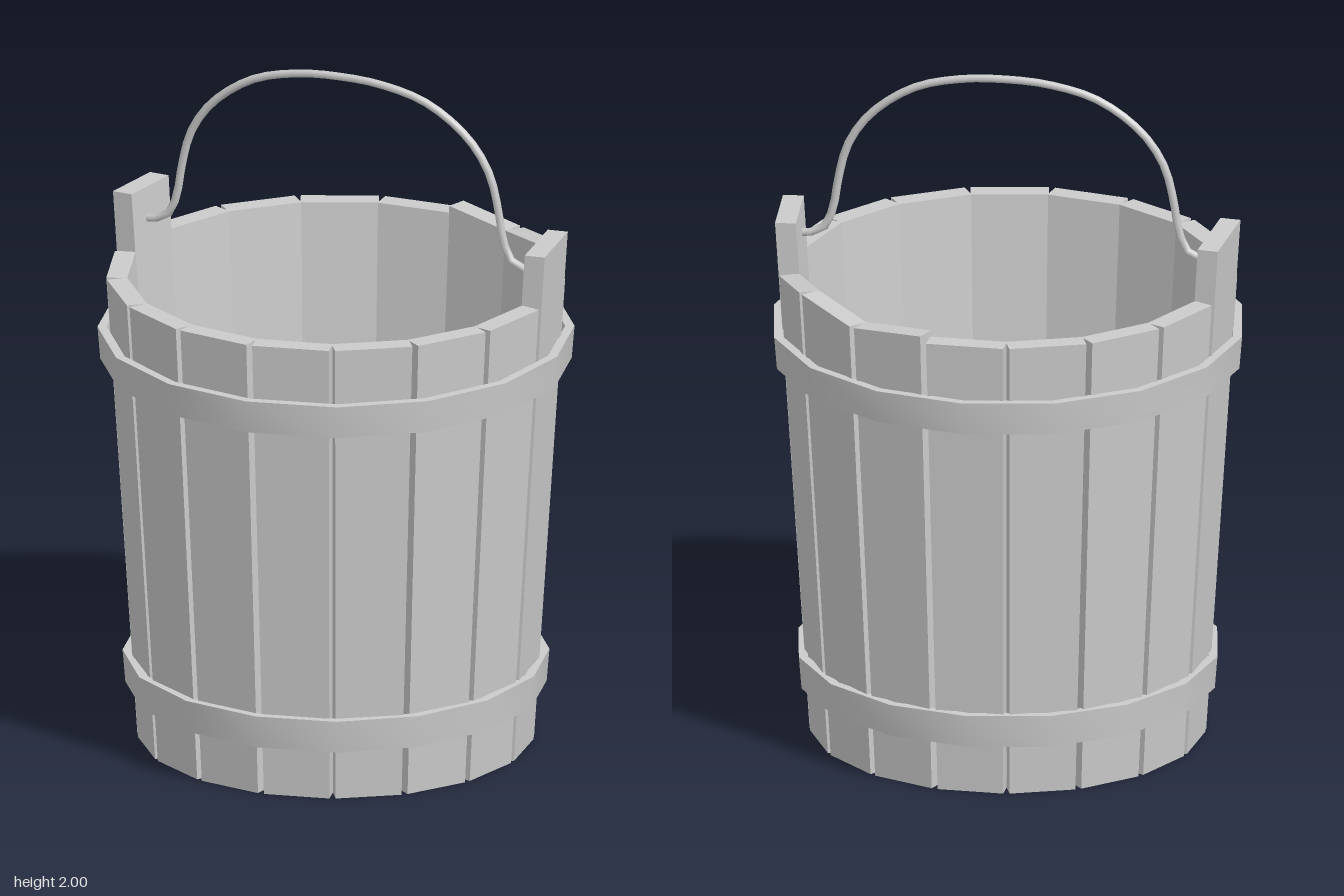
import * as THREE from 'three';
import { toCreasedNormals } from 'three/addons/utils/BufferGeometryUtils.js';

const STAVES = 17;
const STEP = (Math.PI * 2) / STAVES;
const THICK = 0.06;
const outerAt = (y) => 0.562 + 0.063 * y; // the wall flares upward

// Staves with uneven tops: index -> [top at local -x, top at local +x]
const TOPS = {
  1: [1.4, 1.42],
  2: [1.43, 1.4],
  3: [1.4, 1.43],
  4: [1.555, 1.555],
  [-4]: [1.56, 1.575],
};

const material = new THREE.MeshStandardMaterial({ color: 0xcccccc });
const flat = new THREE.MeshStandardMaterial({ color: 0xcccccc, flatShading: true });

function part(name, geometry, mat = material) {
  const mesh = new THREE.Mesh(geometry, mat);
  mesh.name = name;
  return mesh;
}

// Tapered plank; local +z points outward
function staveGeometry([topA, topB]) {
  const g = new THREE.BoxGeometry(1, 1, 1);
  const p = g.attributes.position;
  for (let i = 0; i < p.count; i++) {
    const sx = Math.sign(p.getX(i));
    const y = p.getY(i) < 0 ? 0.003 : sx < 0 ? topA : topB;
    const inner = outerAt(y) - THICK;
    const halfWidth = inner * Math.tan(STEP / 2) + 0.002;
    p.setXYZ(i, sx * halfWidth, y, p.getZ(i) > 0 ? inner + THICK : inner);
  }
  return g;
}

// Sixteen-sided band with a slight flare
function hoop(name, y0, y1, r0, r1) {
  const t = 0.027;
  const profile = [[r0 - t, y0], [r0, y0], [r1, y1], [r1 - t, y1], [r0 - t, y0]];
  const g = new THREE.LatheGeometry(profile.map(([x, y]) => new THREE.Vector2(x, y)), 16);
  return part(name, toCreasedNormals(g, Math.PI / 6));
}

export function createModel() {
  const bucket = new THREE.Group();
  bucket.name = 'bucket';

  // Ring of staves, two of them taller to carry the handle
  const wall = new THREE.Group();
  wall.name = 'staves';
  const half = (STAVES - 1) / 2;
  for (let k = -half; k <= half; k++) {
    const name = Math.abs(k) === 4 ? 'handleStave' : 'stave';
    const stave = part(name, staveGeometry(TOPS[k] || [1.4, 1.4]), flat);
    stave.rotation.y = Math.PI - k * STEP;
    wall.add(stave);
  }
  bucket.add(wall);

  // Floor disc set just above the lower rim
  const floor = part('floor', new THREE.CylinderGeometry(0.535, 0.53, 0.08, 34));
  floor.position.y = 0.075;
  bucket.add(floor);

  // Hoops
  bucket.add(hoop('upperHoop', 1.14, 1.237, 0.676, 0.684));
  bucket.add(hoop('lowerHoop', 0.155, 0.252, 0.604, 0.612));

  // Bent wire handle, mirrored from one half
  const side = [
    [0.615, 1.475], [0.575, 1.478], [0.53, 1.5], [0.505, 1.56], [0.488, 1.66],
    [0.46, 1.76], [0.395, 1.855], [0.27, 1.943], [0.13, 1.98],
  ];
  const points = [
    ...side.map(([x, y]) => new THREE.Vector3(-x, y, -0.03)),
    new THREE.Vector3(0, 1.988, -0.03),
    ...side.slice().reverse().map(([x, y]) => new THREE.Vector3(x, y, -0.03)),
  ];
  const curve = new THREE.CatmullRomCurve3(points);
  bucket.add(part('handle', new THREE.TubeGeometry(curve, 40, 0.012, 8)));

  return bucket;
}
